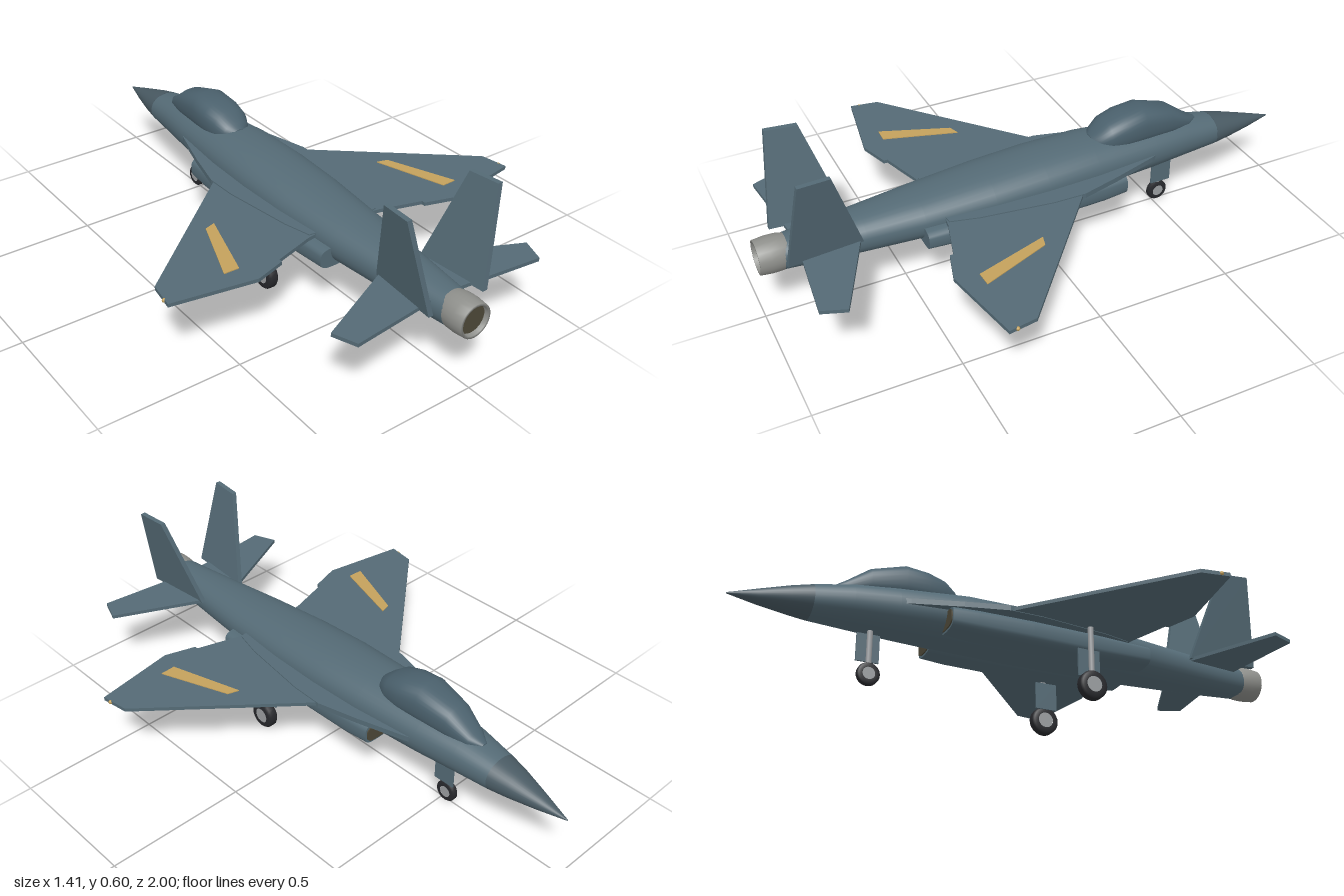
import * as THREE from 'three';

const mat = (name, color, side = THREE.FrontSide) => {
  const m = new THREE.MeshStandardMaterial({ color, side });
  m.name = name;
  return m;
};

// Skin of superellipse sections [z, centreX, halfWidth, top, bottom], nose to tail
function loft(sections, power = 2, n = 32, capped = true) {
  const pos = [], idx = [];
  const ring = ([z, cx, hw, top, bot]) => {
    const cy = (top + bot) / 2, hh = (top - bot) / 2;
    for (let i = 0; i < n; i++) {
      const a = i / n * Math.PI * 2, c = Math.cos(a), s = Math.sin(a), e = 2 / power;
      pos.push(cx + hw * Math.sign(c) * Math.abs(c) ** e, cy + hh * Math.sign(s) * Math.abs(s) ** e, z);
    }
  };
  sections.forEach(ring);
  for (let r = 0; r < sections.length - 1; r++) {
    for (let i = 0; i < n; i++) {
      const a = r * n + i, b = r * n + (i + 1) % n;
      idx.push(a, b, a + n, b, b + n, a + n);
    }
  }
  // Caps have their own vertices so that their edges stay sharp
  if (capped) {
    [sections[0], sections[sections.length - 1]].forEach((s, end) => {
      const o = pos.length / 3;
      ring(s);
      pos.push(s[1], (s[3] + s[4]) / 2, s[0]);
      for (let i = 0; i < n; i++) {
        const j = (i + 1) % n;
        if (end) idx.push(o + n, o + i, o + j);
        else idx.push(o + n, o + j, o + i);
      }
    });
  }
  const g = new THREE.BufferGeometry();
  g.setAttribute('position', new THREE.Float32BufferAttribute(pos, 3));
  g.setIndex(idx);
  g.computeVertexNormals();
  return g;
}

// Flat horizontal plate from [x, z] corners, mirrored by side
function plate(points, side, top, thick) {
  const shape = new THREE.Shape(points.map(([x, z]) => new THREE.Vector2(side * x, z)));
  return new THREE.ExtrudeGeometry(shape, { depth: thick, bevelEnabled: false })
    .rotateX(Math.PI / 2).translate(0, top, 0);
}

// Canted upright fin from [z, y] corners
function finGeometry(points, side, thick) {
  const shape = new THREE.Shape(points.map(([z, y]) => new THREE.Vector2(z, y)));
  const g = new THREE.ExtrudeGeometry(shape, { depth: thick, bevelEnabled: false });
  const p = g.attributes.position;
  for (let i = 0; i < p.count; i++) {
    const z = p.getX(i), y = p.getY(i), w = p.getZ(i);
    const centre = 0.092 + 0.215 * (y - 0.28) + 0.08 * (z - 0.67);
    p.setXYZ(i, side * centre - (w - thick / 2), y, z);
  }
  g.computeVertexNormals();
  return g;
}

export function createModel() {
  const model = new THREE.Group();
  model.name = 'jetAircraft';
  const slate = mat('slate blue', 0x546a75);
  const radome = mat('radome grey', 0x495a63);
  const glass = mat('canopy slate', 0x4a606c);
  const metal = mat('nozzle grey', 0x8e8f8b);
  const dark = mat('duct olive', 0x4d4838);
  const rubber = mat('tyre black', 0x27282c);
  const steel = mat('strut grey', 0x9a9da0);
  const gold = mat('stripe gold', 0xc4a15c);

  const add = (name, geometry, material, parent = model) => {
    const m = new THREE.Mesh(geometry, material);
    m.name = name;
    parent.add(m);
    return m;
  };

  // Body, nose and canopy
  add('fuselage', loft([
    [-0.73, 0, 0.07, 0.313, 0.2], [-0.6, 0, 0.088, 0.337, 0.195],
    [-0.45, 0, 0.108, 0.35, 0.19], [-0.2, 0, 0.131, 0.366, 0.184],
    [0, 0, 0.137, 0.363, 0.18], [0.2, 0, 0.133, 0.352, 0.18],
    [0.45, 0, 0.115, 0.334, 0.18], [0.65, 0, 0.092, 0.32, 0.183],
    [0.8, 0, 0.075, 0.31, 0.187], [0.92, 0, 0.061, 0.303, 0.192]], 2.2), slate);
  add('noseCone', loft([
    [-1, 0, 0.002, 0.238, 0.234], [-0.9, 0, 0.031, 0.268, 0.218],
    [-0.8, 0, 0.057, 0.297, 0.206], [-0.73, 0, 0.071, 0.314, 0.199]], 2.1), radome);
  add('canopy', loft([
    [-0.66, 0, 0.012, 0.33, 0.31], [-0.62, 0, 0.04, 0.352, 0.3],
    [-0.54, 0, 0.062, 0.41, 0.3], [-0.42, 0, 0.077, 0.445, 0.3],
    [-0.34, 0, 0.08, 0.434, 0.3], [-0.28, 0, 0.073, 0.415, 0.3],
    [-0.24, 0, 0.055, 0.385, 0.3], [-0.22, 0, 0.03, 0.367, 0.3]], 2.5), glass);

  // Exhaust: open petal ring with a dark disc inside
  const nozzle = add('nozzle', new THREE.LatheGeometry([
    [0.058, 0.9], [0.063, 0.925], [0.064, 0.96], [0.06, 1], [0.051, 1], [0.049, 0.97]]
    .map(([r, y]) => new THREE.Vector2(r, y)), 24).rotateX(Math.PI / 2), metal);
  nozzle.position.y = 0.25;
  add('exhaustDisc', new THREE.CircleGeometry(0.052, 24), dark).position.set(0, 0.25, 0.985);

  for (const side of [1, -1]) {
    const label = side > 0 ? 'left' : 'right';
    const part = (name, g, m) => add(label + name, g, m);

    // Intake trunk and its mouth
    part('Intake', loft([
      [-0.29, side * 0.108, 0.058, 0.268, 0.19], [-0.2, side * 0.108, 0.064, 0.27, 0.184],
      [0, side * 0.106, 0.068, 0.27, 0.18], [0.25, side * 0.1, 0.066, 0.268, 0.18],
      [0.46, side * 0.095, 0.06, 0.262, 0.19]], 3.2, 24), slate);
    part('IntakeMouth', loft([
      [-0.294, side * 0.108, 0.05, 0.26, 0.198], [-0.288, side * 0.108, 0.05, 0.26, 0.198]], 3.2, 24), dark);

    // Wing, root extension and tailplane
    part('Wing', plate([[0.08, -0.15], [0.2, -0.09], [0.69, 0.33], [0.705, 0.43], [0.41, 0.482],
      [0.3, 0.448], [0.3, 0.435], [0.15, 0.39], [0.08, 0.38]], side, 0.279, 0.013), slate);
    part('Strake', plate([[0.09, -0.48], [0.115, -0.42], [0.165, -0.25], [0.203, -0.1], [0.2, 0.02],
      [0.165, 0.28], [0.14, 0.38], [0.08, 0.39]], side, 0.283, 0.019), slate);
    part('Tailplane', plate([[0.05, 0.655], [0.085, 0.67], [0.4, 0.82], [0.368, 0.905],
      [0.1, 0.875], [0.05, 0.87]], side, 0.277, 0.013), slate);
    part('WingStripe', plate([[0.35, 0.14], [0.39, 0.152], [0.485, 0.4], [0.43, 0.402]],
      side, 0.282, 0.004), gold);
    part('WingtipLight', new THREE.SphereGeometry(0.007, 10, 8), gold)
      .position.set(side * 0.7, 0.273, 0.4);

    // Canted tail fin
    part('Fin', finGeometry([[0.665, 0.27], [0.925, 0.27], [0.88, 0.603], [0.77, 0.6]],
      side, 0.018), slate);
  }

  // Landing gear
  const gear = (name, x, z, r, width, doorX, doorWidth, top) => {
    const g = new THREE.Group();
    g.name = name;
    model.add(g);
    const t = width / 2;
    const tyre = [[r * 0.55, -t], [r * 0.88, -t], [r, -t * 0.6], [r, t * 0.6], [r * 0.88, t], [r * 0.55, t]]
      .map(([a, b]) => new THREE.Vector2(a, b));
    add('tyre', new THREE.LatheGeometry(tyre, 24).rotateZ(Math.PI / 2), rubber, g).position.set(x, r, z);
    add('hub', new THREE.CylinderGeometry(r * 0.56, r * 0.56, width * 0.94, 16).rotateZ(Math.PI / 2),
      steel, g).position.set(x, r, z);
    add('strut', new THREE.CylinderGeometry(0.01, 0.01, top - r, 12), steel, g)
      .position.set(x, (top + r) / 2, z);
    add('gearDoor', new THREE.BoxGeometry(0.006, 0.1, doorWidth), slate, g)
      .position.set(doorX, 0.14, z);
  };
  gear('noseGear', 0, -0.52, 0.039, 0.025, 0.02, 0.08, 0.21);
  gear('leftMainGear', 0.188, 0.205, 0.051, 0.038, 0.168, 0.082, 0.27);
  gear('rightMainGear', -0.188, 0.205, 0.051, 0.038, -0.168, 0.082, 0.27);

  return model;
}
